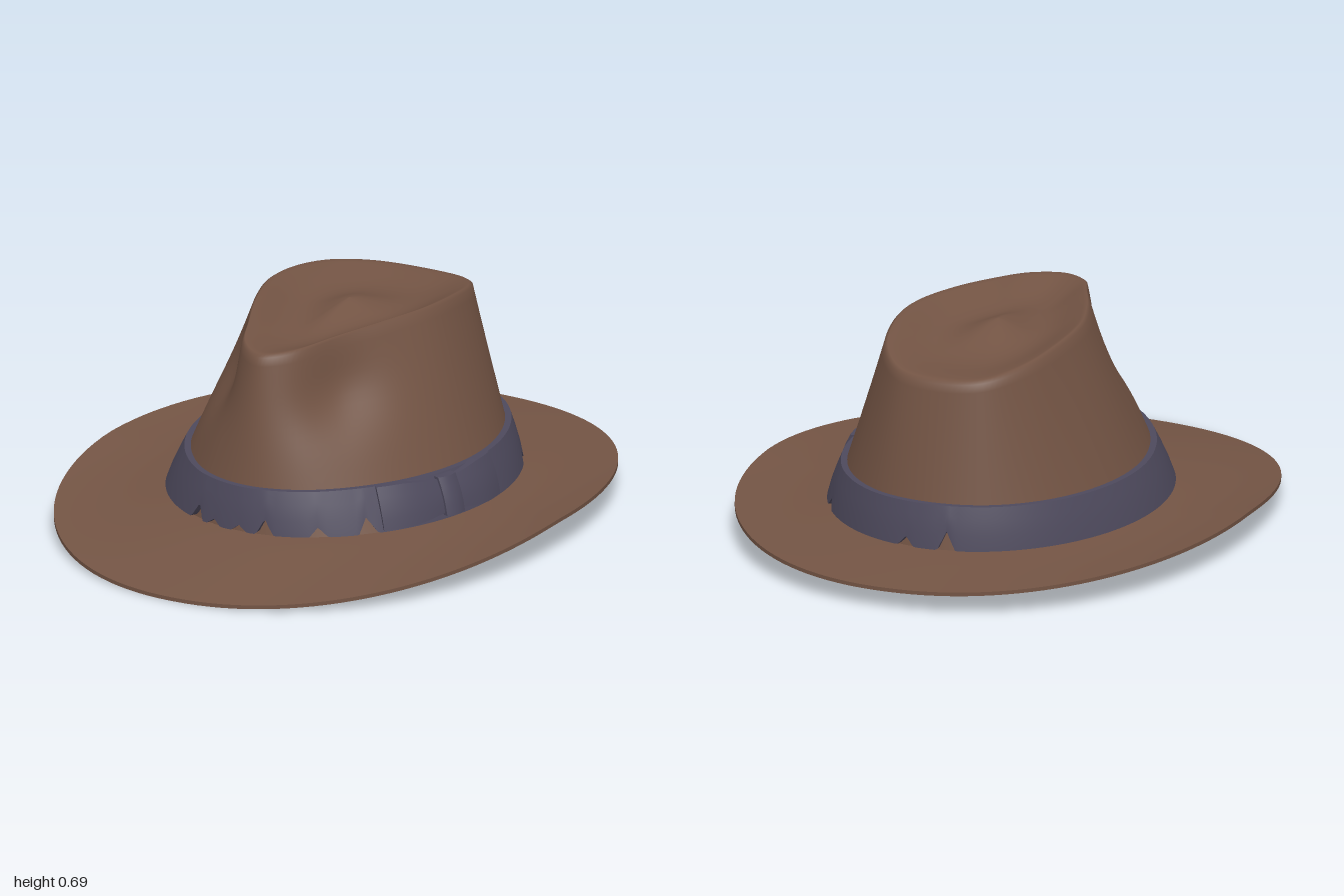
import * as THREE from 'three';

const felt = new THREE.MeshStandardMaterial({ color: 0x735444 });
felt.name = 'brown felt';
const ribbon = new THREE.MeshStandardMaterial({ color: 0x4d495c });
ribbon.name = 'slate ribbon';

const { lerp, clamp, smoothstep } = THREE.MathUtils;
const TAU = Math.PI * 2;
const SEG = 128;
const V = (x, y, z) => new THREE.Vector3(x, y, z);
const angles = (n) => Array.from({ length: n }, (_, i) => (i / n) * TAU);

// Skin a list of point rings; a ring given twice makes a sharp crease.
function loft(name, rings, material, closed = true) {
  const n = rings[0].length, pos = [], idx = [];
  rings.forEach((r) => r.forEach((p) => pos.push(p.x, p.y, p.z)));
  for (let i = 0; i < rings.length - 1; i++) {
    for (let j = 0; j < (closed ? n : n - 1); j++) {
      const k = (j + 1) % n, a = i * n + j, b = i * n + k;
      idx.push(a, b, b + n, a, b + n, a + n);
    }
  }
  const geo = new THREE.BufferGeometry();
  geo.setAttribute('position', new THREE.Float32BufferAttribute(pos, 3));
  geo.setIndex(idx);
  geo.computeVertexNormals();
  const mesh = new THREE.Mesh(geo, material);
  mesh.name = name;
  return mesh;
}

// Teardrop rim of the crown: half outline (x, z) from front to back, mirrored.
const half = [[0, 0.475], [0.085, 0.42], [0.16, 0.27], [0.235, 0.09], [0.285, -0.09],
  [0.28, -0.27], [0.235, -0.43], [0.14, -0.545], [0, -0.575]];
const outline = [...half, ...half.slice(1, -1).reverse().map(([x, z]) => [-x, z])];
const rimCurve = new THREE.CatmullRomCurve3(outline.map(([x, z]) => V(x, 0, z)), true, 'centripetal');

function rimPoint(a) {
  const p = rimCurve.getPoint((((a / TAU) % 1) + 1) % 1);
  const d = p.z + 0.05;
  p.y = 0.69 - (d > 0 ? 0.15 : 0.27) * d * d;
  return p;
}

// Crown wall: oval base (t = 0) rising to the rim (t = 1), pinched at both front sides.
const BASE_Y = 0.085;
function wallPoint(a, t, off = 0) {
  const r = rimPoint(a), s = Math.sin(a), c = Math.cos(a);
  const side = Math.abs(Math.atan2(s, c));
  const pinch = 0.04 * Math.exp(-(((side - 0.75) / 0.32) ** 2)) * Math.exp(-(((t - 0.72) / 0.2) ** 2));
  const o = off - pinch;
  return V(lerp(0.505 * s, r.x, t) + o * s, lerp(BASE_Y, r.y, t), lerp(-0.05 + 0.622 * c, r.z, t) + o * c);
}
const wallAtY = (a, y, off) => wallPoint(a, (y - BASE_Y) / (rimPoint(a).y - BASE_Y), off);

// Dented top: s = 1 at the rim, 0 at the centre, with a low ridge in the middle.
function topPoint(a, s) {
  const r = rimPoint(a);
  const y = lerp(0.67, r.y, s * s) - 0.045 * Math.sin(Math.PI * s) ** 1.5;
  return V(r.x * s, y, lerp(-0.08, r.z, s));
}

function crownRings(inset) {
  const A = angles(SEG), rings = [];
  for (let i = 0; i <= 20; i++) rings.push(A.map((a) => wallPoint(a, (i / 20) * 0.985, -inset)));
  for (const s of [0.975, 0.93, 0.85, 0.75, 0.65, 0.55, 0.45, 0.35, 0.25, 0.15, 0.07, 0.001]) {
    rings.push(A.map((a) => topPoint(a, s).setY(topPoint(a, s).y - inset)));
  }
  return rings;
}

// Brim: p = 0 at the crown, 1 at the edge; dips in front, lifts at the sides.
function brimPoint(a, p, drop) {
  const s = Math.sin(a), c = Math.cos(a);
  const sq = (v) => Math.sign(v) * Math.abs(v) ** 0.95;
  const edgeY = c > 0 ? 0.112 - 0.1 * c ** 1.27 : 0.112 - 0.04 * c * c;
  const y = lerp(0.1, edgeY, p ** 1.15) - 0.012 * Math.sin(Math.PI * p) * s * s;
  return V(lerp(0.49 * s, 0.805 * sq(s), p), y - drop, lerp(-0.05 + 0.607 * c, sq(c), p));
}

function brimRings() {
  const A = angles(SEG);
  const steps = [0, 0.1, 0.2, 0.3, 0.4, 0.5, 0.6, 0.7, 0.8, 0.9, 0.97, 1];
  const under = steps.map((p) => A.map((a) => brimPoint(a, p, 0.012)));
  const over = steps.map((p) => A.map((a) => brimPoint(a, p, 0))).reverse();
  return [...under, under.at(-1), over[0], ...over];
}

// Ribbon band, with small nicks along its lower edge.
const nicks = [[-0.34, 0.05], [-0.19, 0.02], [0, 0.02], [0.17, 0.05], [0.49, 0.03], [0.77, 0.05],
  [2.2, 0.03], [3.02, 0.03], [3.28, 0.06]];
function bandRings() {
  const A = angles(360);
  const bottom = (a) => nicks.reduce((y, [at, h]) => {
    const d = Math.abs(Math.atan2(Math.sin(a - at), Math.cos(a - at)));
    return Math.max(y, 0.105 + h * clamp(1 - d / 0.055, 0, 1));
  }, 0.1);
  const ring = (u, off) => A.map((a) => wallAtY(a, lerp(bottom(a), 0.238 + 0.004 * Math.cos(2 * a), u), off));
  const low = ring(0, 0.024), high = ring(1, 0.02);
  return [ring(0, 0), low, low, ring(0.35, 0.026), ring(0.7, 0.024), high, high, ring(1, -0.004)];
}

// Raised piece of ribbon on the band between two angles; shape(u) gives [bottom, top, offset].
function strap(name, a0, a1, shape) {
  const N = 16, cols = [0, 0];
  for (let i = 0; i <= N; i++) cols.push(i / N);
  cols.push(1, 1);
  const last = cols.length - 1;
  const ring = (v, raised) => cols.map((u, j) => {
    const [y0, y1, off] = shape(u);
    const o = raised && j > 0 && j < last ? off + 0.006 * Math.sin(Math.PI * v) : 0.015;
    return wallAtY(lerp(a0, a1, u), lerp(y0, y1, v), o);
  });
  const low = ring(0, true), high = ring(1, true);
  const rings = [ring(0, false), low, low, ring(0.25, true), ring(0.5, true), ring(0.75, true), high, high, ring(1, false)];
  return loft(name, rings, ribbon, false);
}

export function createModel() {
  const hat = new THREE.Group();
  hat.name = 'hat';
  hat.add(loft('crown', crownRings(0), felt));
  hat.add(loft('crownLining', crownRings(0.015).reverse(), felt));
  hat.add(loft('brim', brimRings(), felt));
  hat.add(loft('band', bandRings(), ribbon));

  // Flat bow on the left side: two wings narrowing towards a knot.
  const bow = new THREE.Group();
  bow.name = 'bow';
  const wing = (w) => {
    const flare = smoothstep(w, 0, 0.7);
    return [0.125 - 0.013 * flare, 0.222 + 0.016 * flare, 0.032 + 0.008 * Math.sin(Math.PI * w)];
  };
  bow.add(strap('frontBowWing', 0.855, 1.26, (u) => wing(1 - u)));
  bow.add(strap('backBowWing', 1.3, 1.665, (u) => wing(u)));
  bow.add(strap('bowKnot', 1.225, 1.345, (u) => [0.117, 0.23, 0.042 + 0.008 * Math.sin(Math.PI * u)]));
  hat.add(bow);
  return hat;
}
